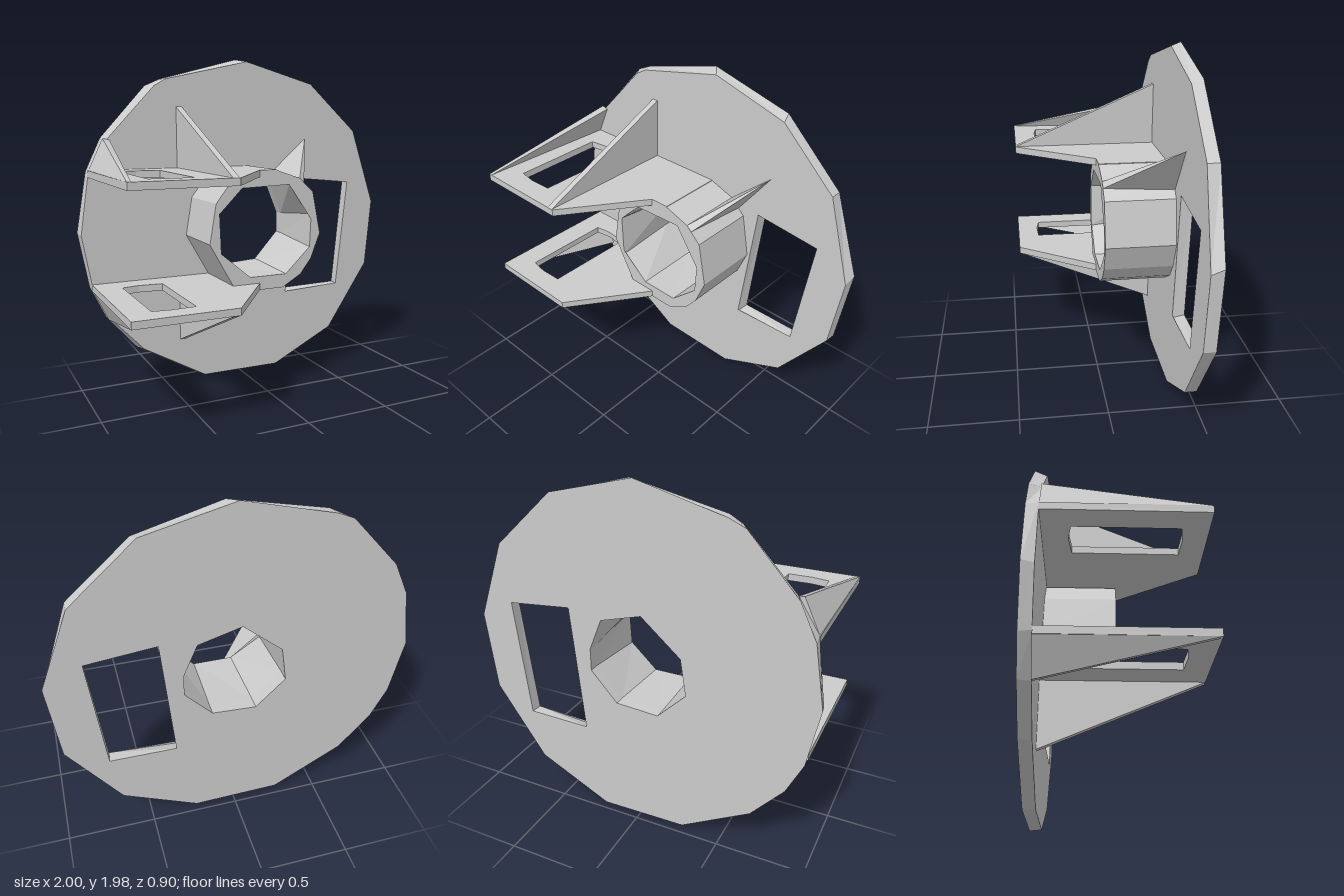
import * as THREE from 'three';
import { ConvexGeometry } from 'three/addons/geometries/ConvexGeometry.js';

const BACK = -0.455, FACE = -0.39, MID_Y = 0.99;
const material = new THREE.MeshStandardMaterial({ color: 0xcccccc, flatShading: true });

const points = (list) => list.map(([x, y]) => new THREE.Vector2(x, y));

// Extrudes a clockwise outline with clockwise holes along +z, starting at z.
function slab(outline, holes, depth, z = 0) {
  const shape = new THREE.Shape(points(outline).reverse());
  for (const hole of holes) shape.holes.push(new THREE.Path(points(hole)));
  return new THREE.ExtrudeGeometry(shape, { depth, bevelEnabled: false }).translate(0, 0, z);
}

// On the plane z, moves the corners of one outline to those of another.
function morph(geometry, z, from, to) {
  const p = geometry.attributes.position;
  for (let i = 0; i < p.count; i++) {
    if (Math.abs(p.getZ(i) - z) > 0.001) continue;
    const k = from.findIndex(([x, y]) => Math.hypot(x - p.getX(i), y - p.getY(i)) < 0.001);
    if (k >= 0) p.setXY(i, ...to[k]);
  }
  return geometry;
}

// Solid wedge spanning a few corner points.
const wedge = (corners) => new ConvexGeometry(corners.map((c) => new THREE.Vector3(...c)));

export function createModel() {
  const model = new THREE.Group();
  const add = (name, geometry) => {
    const mesh = new THREE.Mesh(geometry, material);
    mesh.name = name;
    model.add(mesh);
  };

  // Backing disc with bore and side window; rim and window differ slightly at the front
  const rim = [[0, 1.99], [0.48, 1.87], [0.83, 1.55], [1, 1.1], [0.95, 0.64], [0.66, 0.22], [0.23, 0.01],
    [-0.27, 0.02], [-0.67, 0.25], [-0.85, 0.46], [-0.94, 0.65], [-1, 0.98], [-0.94, 1.33], [-0.85, 1.52],
    [-0.58, 1.82], [-0.49, 1.86]];
  const frontRim = [[0.05, 1.975], [0.5, 1.85], [0.83, 1.55], [0.99, 1.07], [0.945, 0.64], [0.66, 0.22], [0.25, 0.02],
    [-0.25, 0.025], [-0.64, 0.25], [-0.835, 0.46], [-0.935, 0.66], [-0.99, 0.97], [-0.935, 1.34], [-0.82, 1.52],
    [-0.54, 1.82], [-0.47, 1.86]];
  const bore = [[-0.03, 1.285], [0.21, 1.215], [0.285, 1.03], [0.285, 0.9], [0.13, 0.73], [-0.12, 0.715],
    [-0.285, 0.88], [-0.255, 1.09]];
  const sideWindow = [[0.41, 1.25], [0.79, 1.21], [0.715, 0.52], [0.34, 0.515]];
  const frontWindow = [[0.4, 1.25], [0.79, 1.21], [0.71, 0.52], [0.32, 0.49]];
  const disc = slab(rim, [bore, sideWindow], FACE - BACK, BACK);
  morph(disc, FACE, rim, frontRim);
  add('backingDisc', morph(disc, FACE, sideWindow, frontWindow));

  // Hub tube; the bore changes shape slightly towards its mouth
  const hub = [[-0.06, 1.34], [0.05, 1.34], [0.21, 1.285], [0.3, 1.2], [0.35, 0.95], [0.29, 0.8], [0.22, 0.71],
    [0.1, 0.64], [-0.05, 0.64], [-0.22, 0.68], [-0.36, 0.93], [-0.32, 1.16], [-0.22, 1.29]];
  const mouth = [[-0.17, 1.24], [0.14, 1.25], [0.29, 1.07], [0.28, 0.87], [0.12, 0.72], [-0.11, 0.72],
    [-0.29, 0.84], [-0.3, 1.1]];
  add('hub', morph(slab(hub, [bore], -FACE, FACE), 0, bore, mouth));

  // Hub brace
  add('hubBrace', wedge([[0.21, 1.285, 0], [0.24, 1.255, 0], [0.21, 1.285, FACE], [0.265, 1.24, FACE],
    [0.46, 1.505, FACE]]));

  // Mirrored pair of arms: windowed plate and two gussets each
  const plate = [[-0.94, 0.39], [0.06, 0.39], [0.06, 0], [-0.05, 0], [-0.37, -0.45], [-0.94, -0.45]];
  const plateWindow = [[-0.8, 0.24], [-0.7, 0.255], [-0.565, 0.24], [-0.565, -0.32], [-0.7, -0.325], [-0.8, -0.31]];
  for (const [label, s] of [['upper', 1], ['lower', -1]]) {
    const at = (x, h, z) => [x, MID_Y + s * h, z];
    add(label + 'Arm', slab(plate, [plateWindow], 0.04).rotateX(-Math.PI / 2)
      .translate(0, MID_Y + s * 0.33 - 0.02, 0));
    add(label + 'Gusset', wedge([-0.41, -0.375].flatMap((x) =>
      [at(x, 0.33, FACE), at(x, 0.71, FACE), at(x, 0.35, 0.45), at(x, 0.33, 0.45)])));
    add(label + 'EdgeGusset', wedge([at(-0.94, 0.34, FACE), at(-0.89, 0.34, FACE), at(-0.85, 0.53, FACE),
      at(-0.81, 0.52, FACE), at(-0.94, 0.35, 0.45), at(-0.92, 0.35, 0.45), at(-0.93, 0.34, 0.45)]));
  }
  return model;
}
